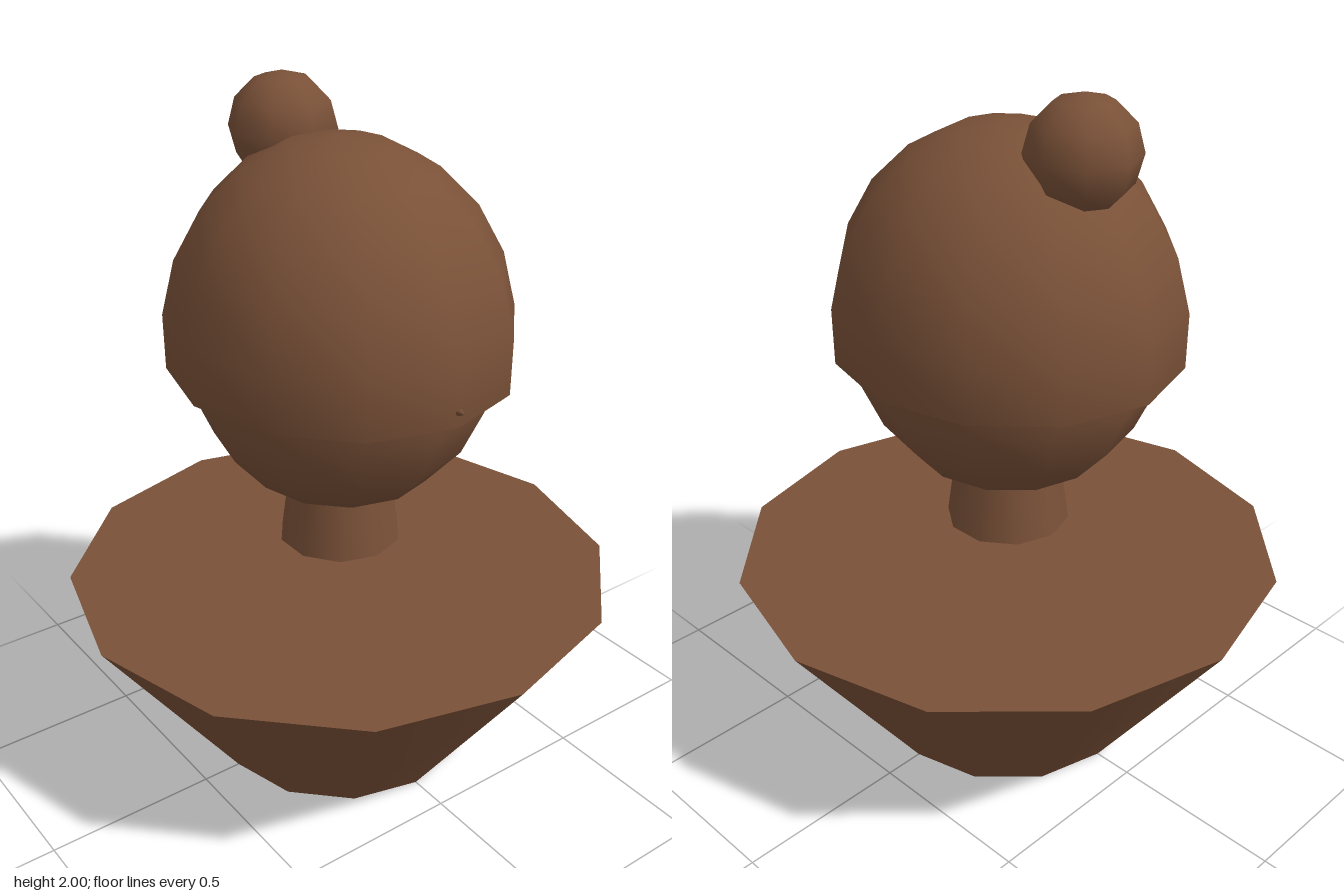
import * as THREE from 'three';

export function createModel() {
  const model = new THREE.Group();
  // Double sided because the cap is an open shell
  const brown = new THREE.MeshStandardMaterial({ color: 0x7a5138, side: THREE.DoubleSide });
  brown.name = 'warm brown';

  function add(name, geometry, position, scale = [1, 1, 1]) {
    const mesh = new THREE.Mesh(geometry, brown);
    mesh.name = name;
    mesh.position.set(...position);
    mesh.scale.set(...scale);
    model.add(mesh);
    return mesh;
  }

  // Shoulders: a twelve-sided block widening upwards
  add('shoulders', new THREE.CylinderGeometry(0.8, 0.384, 0.585, 12), [0, 0.2925, 0]);

  // Neck: tapers up into the head and floats above the shoulders
  add('neck', new THREE.CylinderGeometry(0.14, 0.18, 0.29, 10), [0, 0.84, 0]);

  // Head: egg-shaped sphere
  add('head', new THREE.SphereGeometry(1, 12, 10), [0, 1.33, 0], [0.437, 0.503, 0.458]);

  // Hair cap: open shell reaching a little below its middle
  const cap = new THREE.SphereGeometry(1, 12, 6, 0, Math.PI * 2, 0, Math.PI * 0.55);
  add('hairCap', cap, [0, 1.325, 0], [0.479, 0.555, 0.513]);

  // Bun on the back of the hair
  add('hairBun', new THREE.SphereGeometry(0.153, 8, 6), [0, 1.847, -0.262]);

  // Nose: its tip just pokes through the cap
  const nose = new THREE.ConeGeometry(0.05, 0.095, 6).rotateX(Math.PI / 2);
  add('nose', nose, [0, 1.282, 0.4775]);

  return model;
}
